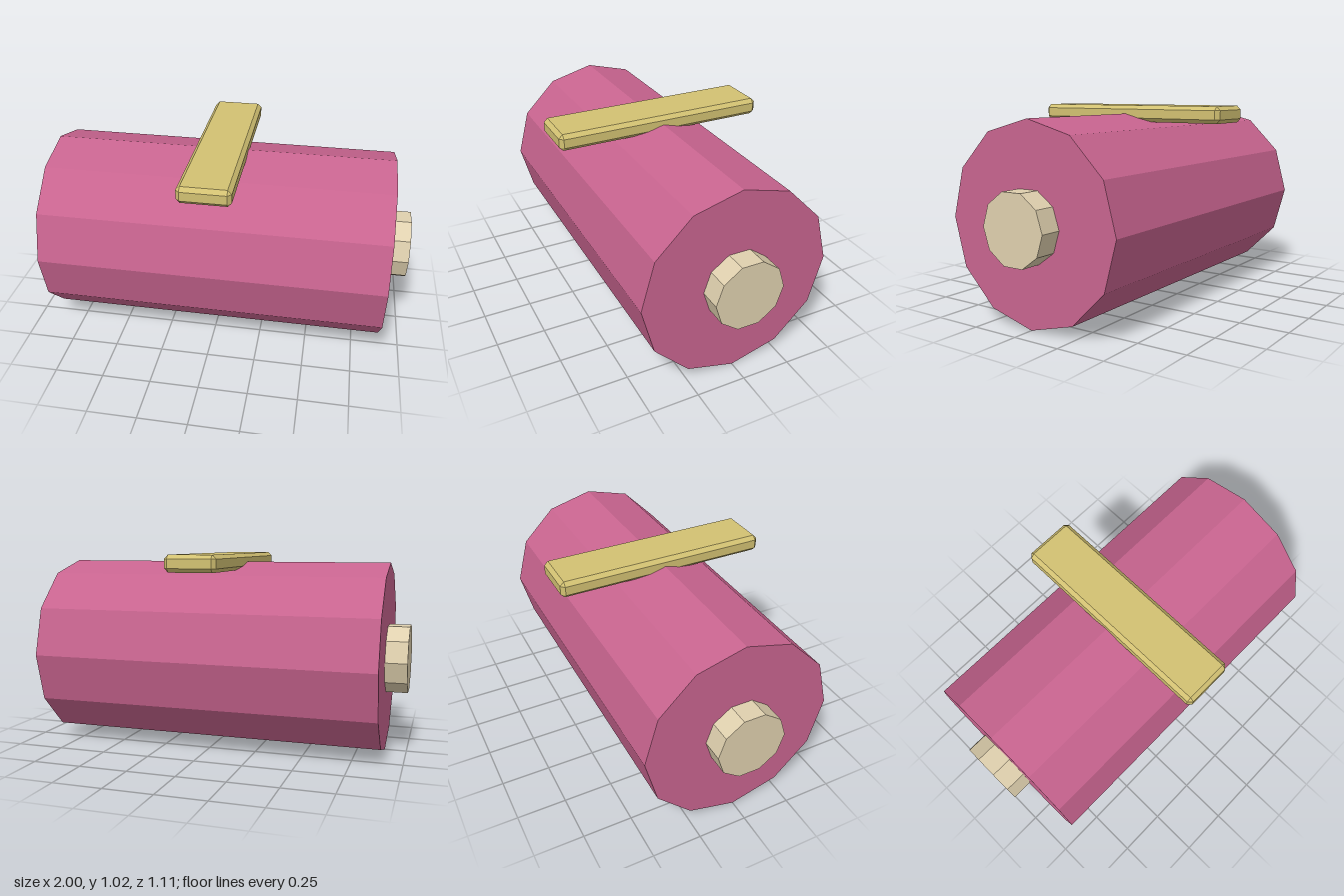
import * as THREE from 'three';
import { ConvexGeometry } from 'three/addons/geometries/ConvexGeometry.js';

const RADIUS = 0.489;

function flatMaterial(name, color) {
  const material = new THREE.MeshStandardMaterial({ color, flatShading: true });
  material.name = name;
  return material;
}

// Faceted cylinder lying along x
function roller(name, radius, length, sides, material) {
  const geometry = new THREE.CylinderGeometry(radius, radius, length, sides);
  geometry.rotateZ(Math.PI / 2);
  const mesh = new THREE.Mesh(geometry, material);
  mesh.name = name;
  return mesh;
}

// Box with every edge and corner cut by the same chamfer
function chamferedBox(width, height, depth, c) {
  const [x, y, z] = [width / 2, height / 2, depth / 2];
  const points = [];
  for (const i of [-1, 1]) for (const j of [-1, 1]) for (const k of [-1, 1]) {
    points.push(
      new THREE.Vector3(i * x, j * (y - c), k * (z - c)),
      new THREE.Vector3(i * (x - c), j * y, k * (z - c)),
      new THREE.Vector3(i * (x - c), j * (y - c), k * z)
    );
  }
  return new ConvexGeometry(points);
}

export function createModel() {
  const model = new THREE.Group();
  model.name = 'barrel';
  const pink = flatMaterial('pink', 0xc8648f);
  const cream = flatMaterial('cream', 0xdfd0ae);
  const gold = flatMaterial('gold', 0xd2c172);

  // Twelve-sided drum with a ridge at the top
  const drum = roller('drum', RADIUS, 1.78, 12, pink);
  drum.position.y = RADIUS;
  model.add(drum);

  // Ten-sided hub at each end
  for (const side of [-1, 1]) {
    const hub = roller(side > 0 ? 'leftHub' : 'rightHub', 0.178, 0.16, 10, cream);
    hub.position.set(side * 0.92, RADIUS + 0.001, 0);
    model.add(hub);
  }

  // Crossbar resting on the ridge
  const bar = new THREE.Mesh(chamferedBox(0.264, 0.086, 1.108, 0.02), gold);
  bar.name = 'crossbar';
  bar.position.y = 0.979;
  model.add(bar);

  return model;
}
